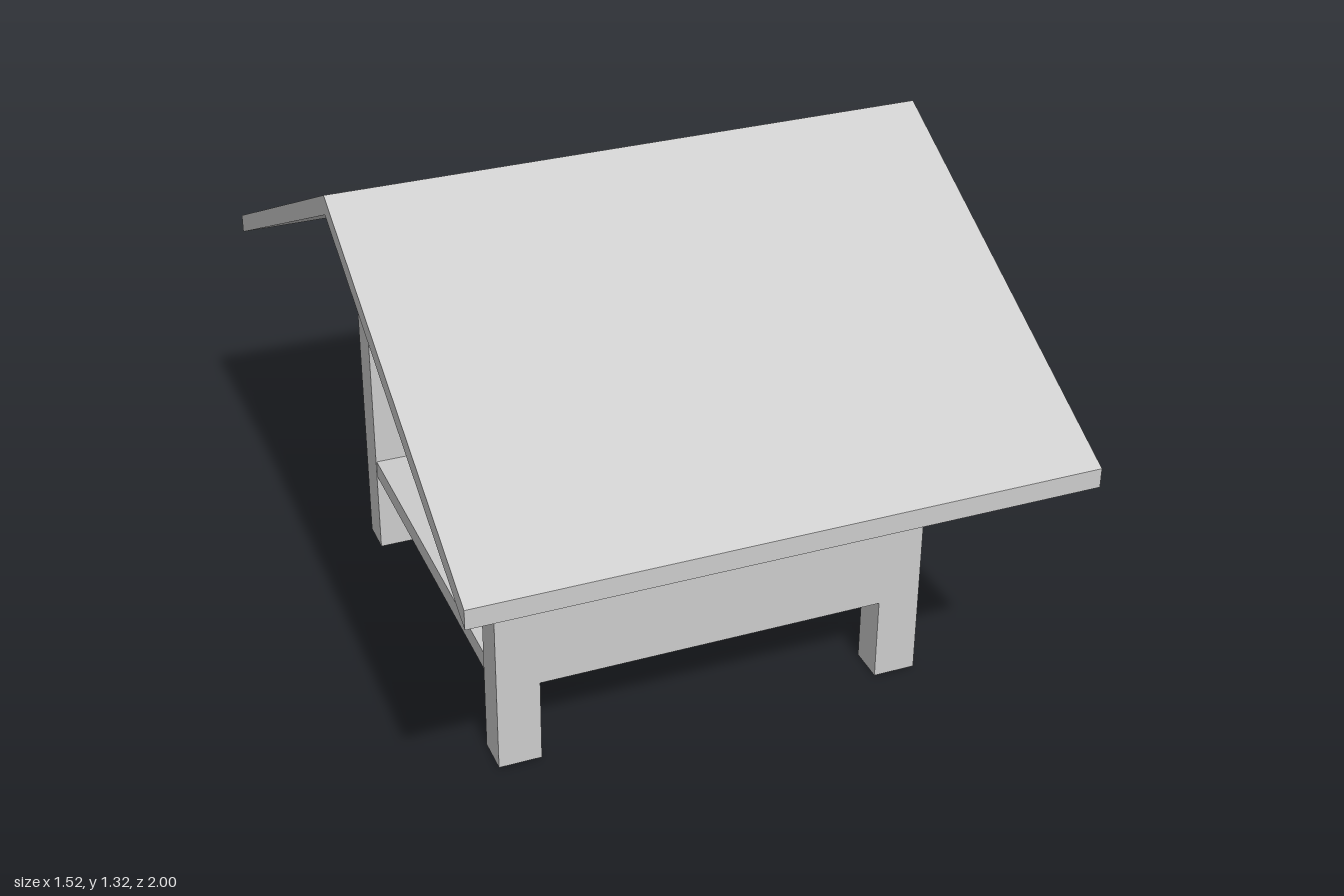
import * as THREE from 'three';

const material = new THREE.MeshStandardMaterial({ color: 0xcccccc, flatShading: true });

export function createModel() {
  const group = new THREE.Group();

  const add = (name, geometry, x = 0) => {
    const mesh = new THREE.Mesh(geometry, material);
    mesh.name = name;
    mesh.position.x = x;
    group.add(mesh);
  };
  // Box given by its min and max on each axis
  const box = (name, x0, x1, y0, y1, z0, z1) => {
    const g = new THREE.BoxGeometry(x1 - x0, y1 - y0, z1 - z0);
    g.translate((x0 + x1) / 2, (y0 + y1) / 2, (z0 + z1) / 2);
    add(name, g);
  };
  // Closed outline in (z, y) pairs
  const outline = (points) => points.map(([z, y]) => new THREE.Vector2(z, y));
  // Extrude a (z, y) shape along x, centred
  const extrudeX = (shape, width) => {
    const g = new THREE.ExtrudeGeometry(shape, { depth: width, bevelEnabled: false });
    g.translate(0, 0, -width / 2);
    g.rotateY(Math.PI / 2);
    return g;
  };

  const OUT = 0.56, LEG_X = 0.45, LEG_Z = 0.465;
  const RAIL_LOW = 0.225, RAIL_TOP = 0.46, BEAM_LOW = 0.835, BEAM_TOP = 0.925;

  // End frames: two legs, top beam and raised roof support with an opening
  const half = [[LEG_Z, BEAM_LOW], [LEG_Z, 0], [OUT, 0], [OUT, BEAM_TOP], [0.275, BEAM_TOP], [0.275, 1.125]];
  const mirrored = half.map(([z, y]) => [-z, y]).reverse();
  const frame = new THREE.Shape(outline([...half, ...mirrored]));
  frame.holes.push(new THREE.Path(outline([[-0.095, BEAM_TOP], [-0.095, 1.01], [0.095, 1.01], [0.095, BEAM_TOP]])));
  for (const side of [-1, 1]) {
    add(side > 0 ? 'leftEndFrame' : 'rightEndFrame', extrudeX(frame, OUT - LEG_X), side * (OUT + LEG_X) / 2);
  }

  // Front and back rails and top beams
  for (const [name, a, b, c] of [['front', 0.51, LEG_Z, OUT], ['back', -OUT, -OUT, -LEG_Z]]) {
    const z0 = a;
    box(name + 'Rail', -LEG_X, LEG_X, RAIL_LOW, RAIL_TOP, z0, z0 + 0.05);
    box(name + 'TopBeam', -LEG_X, LEG_X, BEAM_LOW, BEAM_TOP, b, c);
  }

  // Rail on one end only; the other end stays open
  box('endRail', 0.505, OUT, RAIL_LOW, RAIL_TOP, -LEG_Z, LEG_Z);

  // Central beam under the ridge
  box('centreBeam', -LEG_X, LEG_X, BEAM_LOW, BEAM_TOP, -0.095, 0.095);

  // Floor, running between the rails and legs
  const inset = OUT - 0.002;
  box('floor', -inset, inset, RAIL_LOW + 0.001, 0.275, -inset, inset);

  // Gabled roof
  const roof = new THREE.Shape(outline([[-1, 0.76], [0, 1.265], [1, 0.76], [1, 0.81], [0, 1.315], [-1, 0.81]]));
  add('roof', extrudeX(roof, 1.52));

  return group;
}
